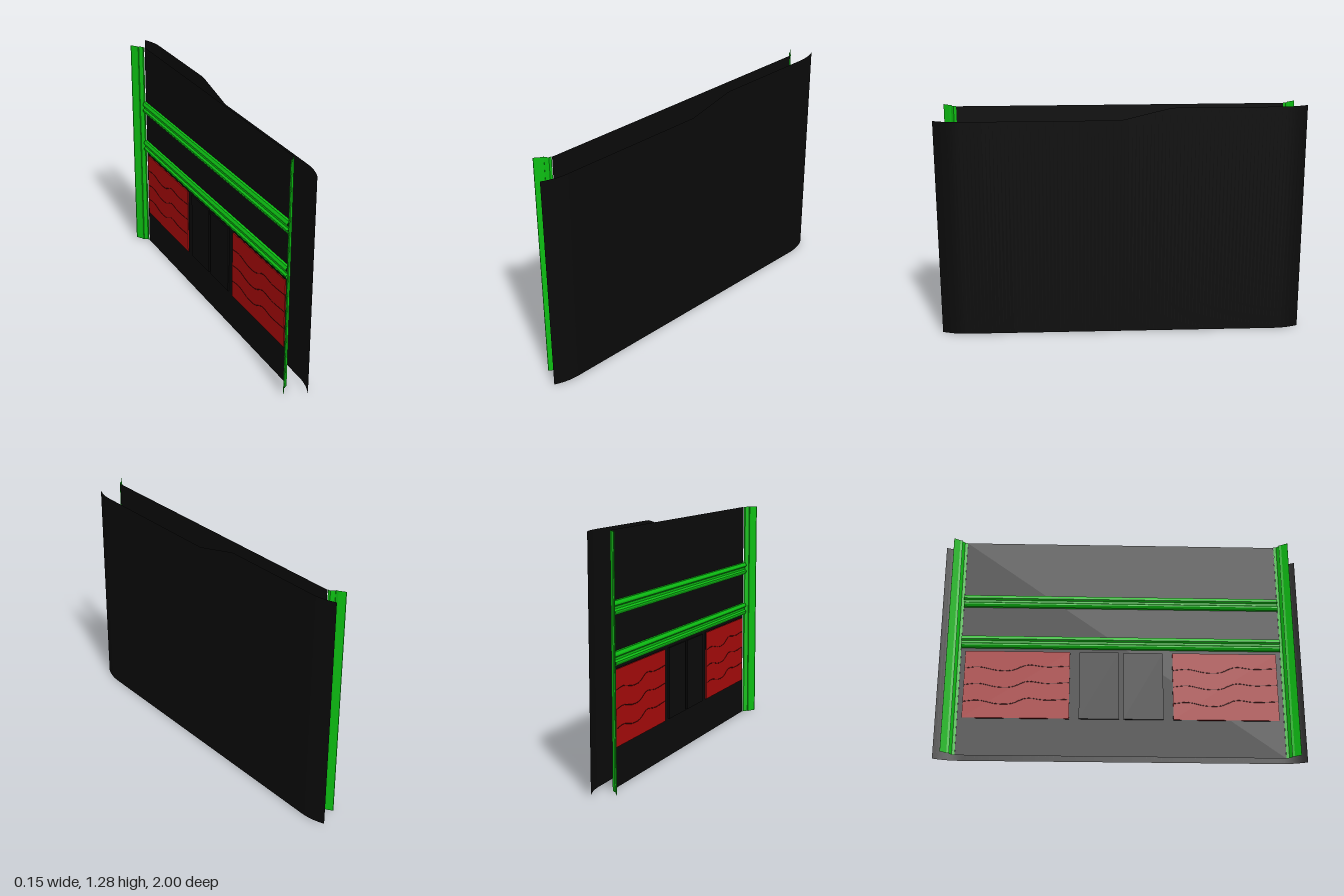
import * as THREE from 'three';

const paint = (color) => new THREE.MeshStandardMaterial({ color, side: THREE.DoubleSide });

// Open sheet swept between two ends of one axis; profile holds [a, b] points.
function strip(profile, place, from, to) {
  const pos = [];
  for (let i = 0; i < profile.length - 1; i++) {
    const a0 = place(profile[i], from), a1 = place(profile[i], to);
    const b0 = place(profile[i + 1], from), b1 = place(profile[i + 1], to);
    pos.push(...a0, ...b0, ...b1, ...a0, ...b1, ...a1);
  }
  const g = new THREE.BufferGeometry();
  g.setAttribute('position', new THREE.Float32BufferAttribute(pos, 3));
  g.computeVertexNormals();
  return g;
}

export function createModel() {
  const model = new THREE.Group();
  const black = paint(0x0a0a0a), green = paint(0x0cbe12);
  const red = paint(0xa80a0a), darkRed = paint(0x4a0505);
  const H = 1.28;
  const add = (name, geometry, material, parent = model) => {
    const mesh = new THREE.Mesh(geometry, material);
    mesh.name = name;
    parent.add(mesh);
    return mesh;
  };

  // Outer skin: ends curl inwards, top edge steps up towards the back
  const skin = new THREE.PlaneGeometry(2, 1, 100, 1).rotateY(Math.PI / 2);
  const p = skin.attributes.position;
  for (let i = 0; i < p.count; i++) {
    const z = p.getZ(i);
    const curl = Math.max(0, (Math.abs(z) - 0.86) / 0.14);
    const rise = THREE.MathUtils.clamp(-z / 0.27, 0, 1);
    const top = 1.215 + (H - 1.215) * rise;
    p.setXYZ(i, 0.072 - 0.032 * curl * curl, p.getY(i) > 0 ? top : 0, z);
  }
  skin.computeVertexNormals();
  add('outerSkin', skin, black);

  // Inner skin
  const inner = new THREE.PlaneGeometry(1.75, H).rotateY(Math.PI / 2);
  inner.translate(-0.016, H / 2, 0);
  add('innerSkin', inner, black);

  // Folded end posts, mirrored front and back
  const postProfile = [[-0.02, 0.875], [-0.022, 0.89], [-0.041, 0.905], [-0.046, 0.902],
    [-0.05, 0.915], [-0.072, 0.947], [-0.075, 0.947]];
  for (const s of [1, -1]) {
    add(s > 0 ? 'frontPost' : 'backPost',
      strip(postProfile, ([x, z], y) => [x, y, s * z], 0, H), green);
  }

  // Ribbed horizontal rails
  const railProfile = [[-0.015, -0.035], [-0.03, -0.035], [-0.038, -0.022], [-0.038, -0.014],
    [-0.028, -0.006], [-0.028, 0.006], [-0.038, 0.014], [-0.038, 0.022], [-0.03, 0.035], [-0.015, 0.035]];
  for (const [name, y] of [['lowerRail', 0.655], ['upperRail', 0.905]]) {
    add(name, strip(railProfile, ([x, dy], z) => [x, y + dy, z], -0.875, 0.875), green);
  }

  // Lower panels: red cushions outside, black plates in the middle
  for (const s of [1, -1]) {
    const cushion = new THREE.Group();
    cushion.name = s > 0 ? 'frontCushion' : 'backCushion';
    model.add(cushion);
    add('cushionFace', new THREE.BoxGeometry(0.012, 0.39, 0.57), red, cushion)
      .position.set(-0.019, 0.405, s * 0.565);
    add('cushionBacking', new THREE.BoxGeometry(0.01, 0.392, 0.572), black, cushion)
      .position.set(-0.0155, 0.405, s * 0.565);
    // Wavy seams across the cushion
    for (let i = 1; i <= 3; i++) {
      const y = 0.21 + i * 0.0975;
      const path = new THREE.CatmullRomCurve3(
        [[0.283, 0], [0.36, 0.008], [0.46, -0.012], [0.54, -0.01], [0.62, 0.022], [0.72, 0.012], [0.847, 0.018]]
          .map(([z, dy]) => new THREE.Vector3(-0.025, y + dy - 0.005, s > 0 ? z : z - 1.13)));
      add('seam', new THREE.TubeGeometry(path, 24, 0.002, 4), darkRed, cushion);
    }
    add('middlePlate', new THREE.BoxGeometry(0.014, 0.39, 0.215), black)
      .position.set(-0.0175, 0.405, s * 0.12);
  }
  return model;
}
